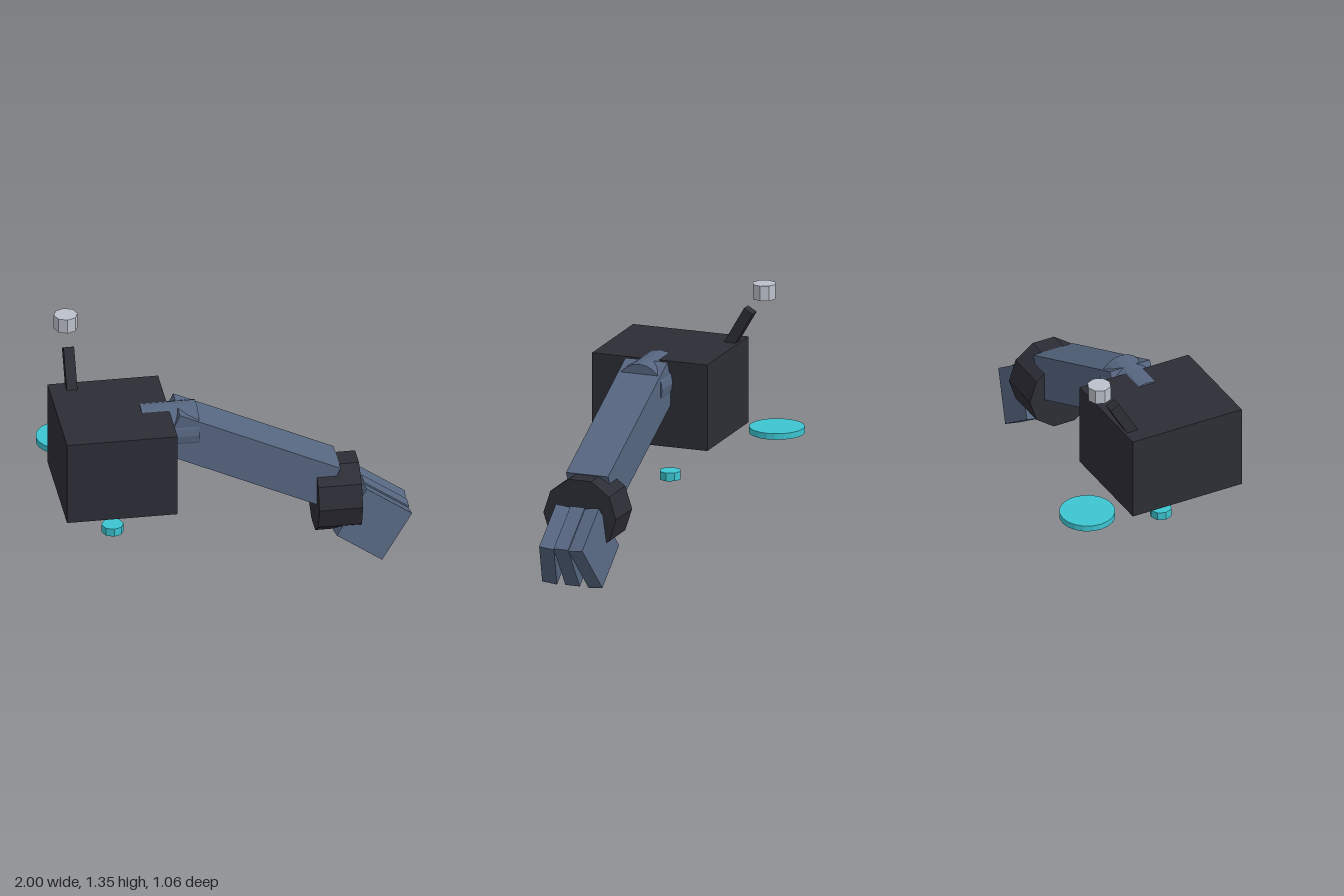
import * as THREE from 'three';

export function createModel() {
  const model = new THREE.Group();
  model.name = 'roboticArm';

  const mat = (name, color, flatShading = true) => {
    const m = new THREE.MeshStandardMaterial({ color, flatShading });
    m.name = name;
    return m;
  };
  const charcoal = mat('charcoal', 0x2d2d36);
  const slate = mat('slateBlue', 0x566680);
  const teal = mat('teal', 0x3cc5d1);
  const silver = mat('silver', 0xbcc1cc);

  const MID = 0.187; // z of the arm's centre plane
  const add = (name, geometry, material, x, y, z, parent = model) => {
    const mesh = new THREE.Mesh(geometry, material);
    mesh.name = name;
    mesh.position.set(x, y, z);
    parent.add(mesh);
    return mesh;
  };
  const box = (w, h, d) => new THREE.BoxGeometry(w, h, d);
  const disc = (r, h, sides) => new THREE.CylinderGeometry(r, r, h, sides);

  // Body block
  add('body', box(0.62, 0.495, 0.685), charcoal, -0.66, 0.757, MID);

  // Leaning stick with a floating cap
  const stick = add('stick', box(0.06, 0.3, 0.06), charcoal, -0.845, 1.067, -0.142);
  stick.rotation.x = -Math.PI / 6;
  add('cap', disc(0.067, 0.085, 8), silver, -0.845, 1.317, -0.3);

  // Glowing discs behind and below the body
  add('rearDisc', disc(0.155, 0.035, 20), teal, -0.845, 0.527, -0.375);
  add('lowerDisc', disc(0.062, 0.047, 8), teal, -0.66, 0.257, MID);

  // Shoulder joint, lying along x
  const shoulder = add('shoulder', disc(0.136, 0.312, 20), slate, -0.348, 0.88, MID);
  shoulder.rotation.z = Math.PI / 2;

  // Sloping square arm
  const from = new THREE.Vector2(-0.355, 0.895);
  const to = new THREE.Vector2(0.545, 0.475);
  const arm = add('arm', box(from.distanceTo(to), 0.255, 0.25), slate,
    (from.x + to.x) / 2, (from.y + to.y) / 2, MID);
  arm.rotation.z = Math.atan2(to.y - from.y, to.x - from.x);

  // Small lights showing through the underside of the arm
  for (let i = 0; i < 3; i++) {
    add('armLight', disc(0.06, 0.045, 8), teal, -0.073 + i * 0.237, 0.662 - i * 0.11, MID);
  }

  // Ten-sided wrist cuff
  const wrist = add('wrist', disc(0.216, 0.245, 10), charcoal, 0.588, 0.381, MID);
  wrist.rotation.z = Math.PI / 2;

  // Hand: three slabs, the outer ones splayed
  const hand = new THREE.Group();
  hand.name = 'hand';
  hand.position.set(0.78, 0.226, MID);
  hand.rotation.z = -0.611;
  model.add(hand);
  for (const side of [-1, 0, 1]) {
    const finger = add('finger', box(0.31, 0.312, 0.086), slate, 0, 0, side * 0.111, hand);
    finger.rotation.x = -side * 0.165;
  }

  return model;
}
